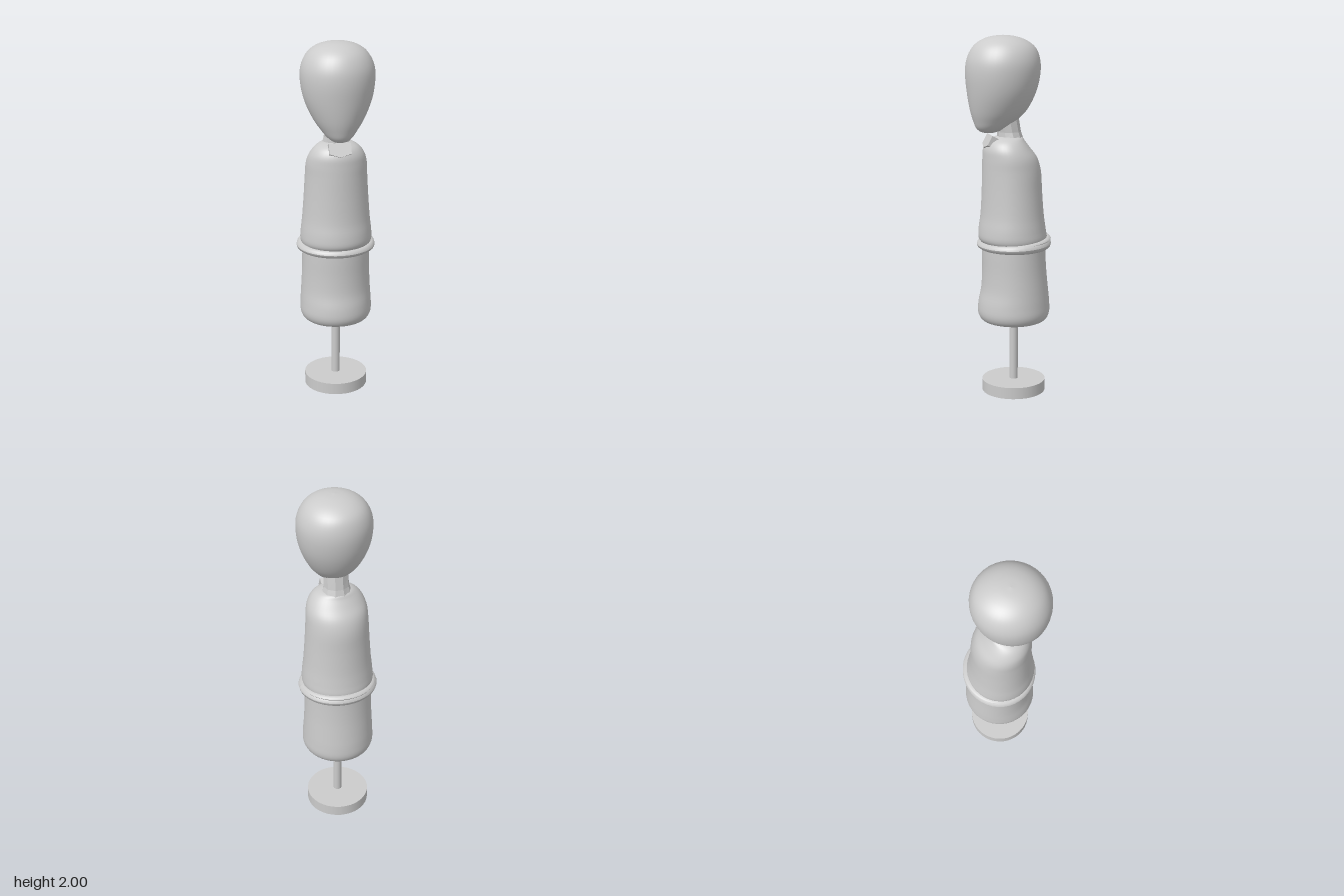
import * as THREE from 'three';

const material = new THREE.MeshStandardMaterial({ color: 0xcccccc });

// Skin over elliptical rings, listed bottom to top as [y, halfWidth, zFront, zBack]
function loft(rows, sides = 40, steps = 4) {
  const widths = new THREE.CatmullRomCurve3(rows.map(([y, w]) => new THREE.Vector3(w, y, 0)), false, 'centripetal');
  const depths = new THREE.CatmullRomCurve3(rows.map(([y, , f, b]) => new THREE.Vector3(f, y, b)), false, 'centripetal');
  const count = (rows.length - 1) * steps;
  const pos = [], index = [];
  for (let i = 0; i <= count; i++) {
    const w = widths.getPoint(i / count), d = depths.getPoint(i / count);
    const mid = (d.x + d.z) / 2, half = (d.x - d.z) / 2;
    for (let j = 0; j < sides; j++) {
      const a = (j / sides) * Math.PI * 2;
      pos.push(Math.max(w.x, 0) * Math.cos(a), d.y, mid + half * Math.sin(a));
      if (i === count) continue;
      const p = i * sides + j, q = i * sides + (j + 1) % sides;
      index.push(p, p + sides, q, q, p + sides, q + sides);
    }
  }
  const g = new THREE.BufferGeometry();
  g.setAttribute('position', new THREE.Float32BufferAttribute(pos, 3));
  g.setIndex(index);
  g.computeVertexNormals();
  return g;
}

// Closed elliptical cord whose height and thickness follow the angle
function cord(rx, rz, cz, height, thick) {
  const g = new THREE.TorusGeometry(1, 0.5, 10, 40);
  const p = g.attributes.position;
  for (let i = 0; i < p.count; i++) {
    const x = p.getX(i), y = p.getY(i), a = Math.atan2(y, x);
    const out = (Math.hypot(x, y) - 1) * 2, up = p.getZ(i) * 2;
    const t = thick(Math.sin(a));
    // the ring lies flat, with sin(a) = -1 at the front
    p.setXYZ(i, Math.cos(a) * (rx + out * 0.024), height(Math.sin(a)) + up * t,
      cz - Math.sin(a) * (rz + out * 0.024));
  }
  g.computeVertexNormals();
  return g;
}

export function createModel() {
  const model = new THREE.Group();
  const add = (name, geometry, x = 0, y = 0, z = 0, mat = material) => {
    const mesh = new THREE.Mesh(geometry, mat);
    mesh.name = name;
    mesh.position.set(x, y, z);
    model.add(mesh);
    return mesh;
  };
  const faceted = material.clone();
  faceted.flatShading = true;

  // Stand
  add('standBase', new THREE.CylinderGeometry(0.178, 0.178, 0.065, 40), 0, 0.0325, -0.03);
  add('standPost', new THREE.CylinderGeometry(0.024, 0.024, 0.4, 20), 0, 0.25, -0.03);

  // Lower body, closed underneath
  add('lowerBody', loft([
    [0.408, 0, -0.03, -0.03], [0.41, 0.145, 0.115, -0.175], [0.425, 0.183, 0.153, -0.213],
    [0.46, 0.2, 0.17, -0.23], [0.52, 0.2, 0.168, -0.23], [0.6, 0.195, 0.152, -0.222],
    [0.7, 0.19, 0.146, -0.212], [0.8, 0.188, 0.146, -0.206], [0.87, 0.187, 0.145, -0.205],
  ]));

  // Upper body, rounding over the shoulders
  add('upperBody', loft([
    [0.86, 0.185, 0.145, -0.2], [0.89, 0.198, 0.165, -0.213], [0.94, 0.197, 0.165, -0.206],
    [1.02, 0.188, 0.154, -0.195], [1.15, 0.178, 0.147, -0.185], [1.27, 0.171, 0.144, -0.177],
    [1.34, 0.166, 0.142, -0.155], [1.39, 0.15, 0.137, -0.118], [1.43, 0.12, 0.115, -0.088],
    [1.452, 0.08, 0.075, -0.072], [1.46, 0, 0, 0],
  ]));

  // Belt: a round cord, with a raised fold climbing towards the back
  add('belt', cord(0.196, 0.182, -0.031, s => 0.856 + 0.004 * s, s => 0.024 + 0.003 * s));
  add('beltFold', cord(0.186, 0.18, -0.032, s => 0.872 + 0.014 * s, () => 0.012));

  // Neck, leaning forward into the head
  add('neck', loft([
    [1.4, 0.085, 0.06, -0.1], [1.45, 0.078, 0.062, -0.078], [1.48, 0.07, 0.062, -0.068],
    [1.54, 0.068, 0.075, -0.058], [1.62, 0.066, 0.09, -0.045],
  ], 10, 1), 0, 0, 0, faceted);

  // Small angular collar plate on the chest
  const plate = new THREE.Shape([[-0.06, 0.07], [-0.06, 0.012], [0, -0.008], [0.06, 0.012], [0.06, 0.07]]
    .map(([x, y]) => new THREE.Vector2(x, y)));
  const collar = add('collarPlate', new THREE.ExtrudeGeometry(plate, { depth: 0.04, bevelEnabled: false }),
    0, 1.385, 0.103, faceted);
  collar.rotation.x = -0.5;

  // Egg-shaped head with a forward chin
  add('head', loft([
    [1.473, 0, 0.11, 0.11], [1.48, 0.035, 0.15, 0.07], [1.5, 0.066, 0.178, 0.02],
    [1.54, 0.1, 0.195, -0.04], [1.6, 0.14, 0.212, -0.1], [1.7, 0.183, 0.228, -0.15],
    [1.8, 0.2, 0.236, -0.172], [1.87, 0.195, 0.228, -0.17], [1.93, 0.168, 0.2, -0.148],
    [1.97, 0.125, 0.155, -0.1], [1.993, 0.065, 0.095, -0.035], [2, 0, 0.03, 0.03],
  ]));

  return model;
}
